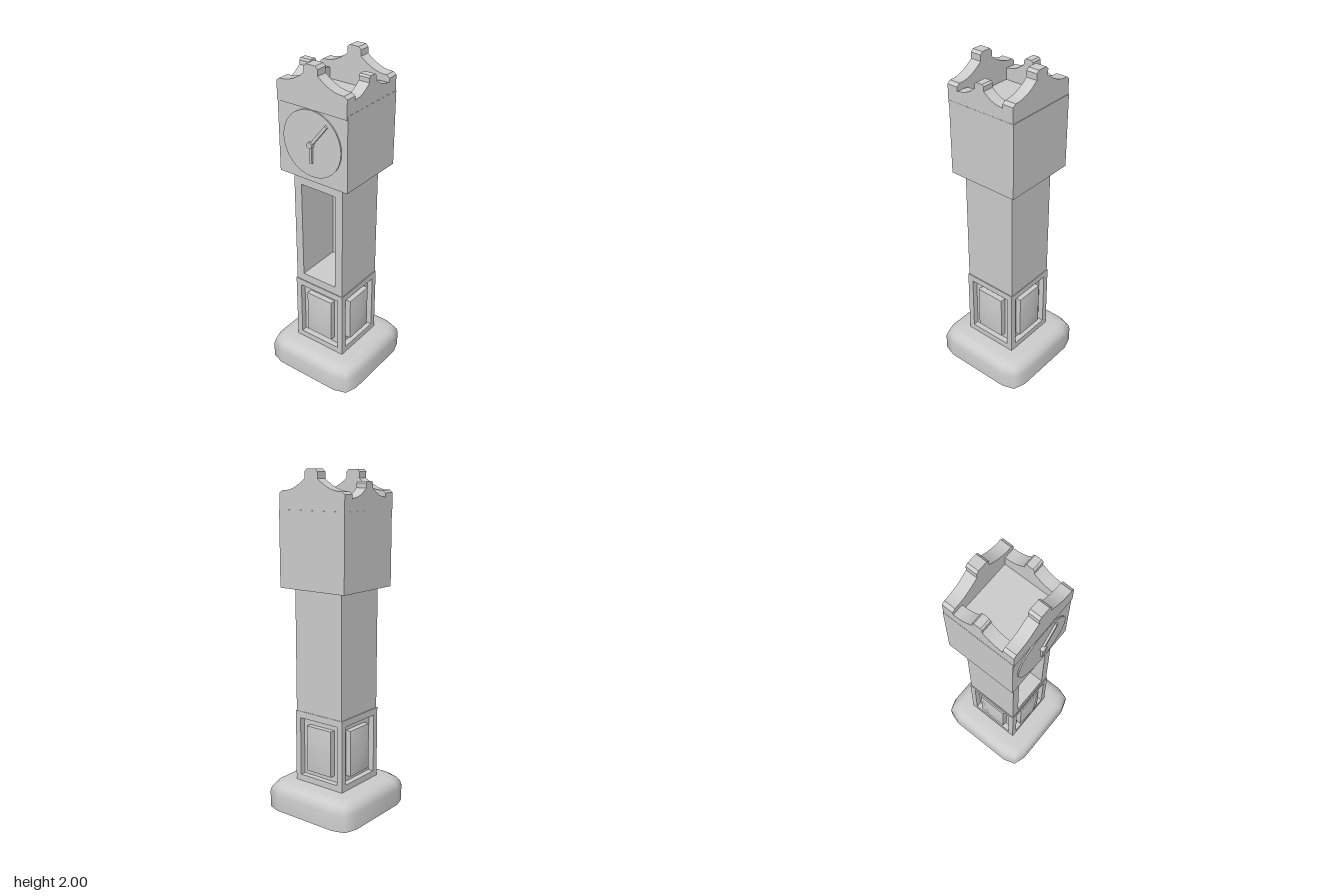
import * as THREE from 'three';
import { toCreasedNormals } from 'three/addons/utils/BufferGeometryUtils.js';

const grey = new THREE.MeshStandardMaterial({ color: 0xcccccc });

function add(parent, name, geometry, x = 0, y = 0, z = 0) {
  const mesh = new THREE.Mesh(geometry, grey);
  mesh.name = name;
  mesh.position.set(x, y, z);
  parent.add(mesh);
  return mesh;
}

function rect(Type, x0, x1, y0, y1) {
  const p = [[x0, y0], [x1, y0], [x1, y1], [x0, y1]].map(([x, y]) => new THREE.Vector2(x, y));
  return new Type(p);
}

const extrude = (shape, depth) =>
  new THREE.ExtrudeGeometry(shape, { depth, bevelEnabled: false, curveSegments: 8 });

// Rectangular frame with a rectangular opening, each given as [x0, x1, y0, y1]
function frame(outer, inner, depth) {
  const shape = rect(THREE.Shape, ...outer);
  shape.holes.push(rect(THREE.Path, ...inner));
  return extrude(shape, depth);
}

// Rounded plinth: a 12-sided lathe whose rings are remapped to a cut-corner square
function baseGeometry() {
  const profile = [[0, 0], [0.31, 0], [0.31, 0.1], [0.303, 0.128], [0.288, 0.149], [0.265, 0.164],
    [0.235, 0.17], [0, 0.17]].map(([r, y]) => new THREE.Vector2(r, y));
  const outline = [];
  for (let k = 0; k < 4; k++) {
    for (let [x, z] of [[0.208, 0.31], [0.285, 0.285], [0.31, 0.208]]) {
      for (let i = 0; i < k; i++) [x, z] = [z, -x];
      outline.push([x, z]);
    }
  }
  const geometry = new THREE.LatheGeometry(profile, 12);
  const pos = geometry.attributes.position;
  for (let v = 0; v < pos.count; v++) {
    const [x, z] = outline[Math.floor(v / profile.length) % 12];
    const s = profile[v % profile.length].x / 0.31;
    pos.setXYZ(v, x * s, pos.getY(v), z * s);
  }
  return toCreasedNormals(geometry, 1.0);
}

// Crest wall: half profile mirrored about the centre, with a knob on top
function crestGeometry(end, shoulder, control, neck, knobY, topX, topY, depth) {
  const s = new THREE.Shape();
  s.moveTo(-end[0], 1.76);
  s.lineTo(end[0], 1.76);
  s.lineTo(...end);
  s.lineTo(...shoulder);
  s.quadraticCurveTo(...control, ...neck);
  s.lineTo(neck[0], knobY);
  s.lineTo(topX, topY);
  s.lineTo(-topX, topY);
  s.lineTo(-neck[0], knobY);
  s.lineTo(-neck[0], neck[1]);
  s.quadraticCurveTo(-control[0], control[1], -shoulder[0], shoulder[1]);
  s.lineTo(-end[0], end[1]);
  return toCreasedNormals(extrude(s, depth).translate(0, 0, -depth / 2), 0.4);
}

export function createModel() {
  const model = new THREE.Group();
  model.name = 'longcaseClock';

  add(model, 'base', baseGeometry());

  // Pedestal: core with a framed, raised panel on each of the four sides
  const pedestal = new THREE.Group();
  pedestal.name = 'pedestal';
  pedestal.position.x = -0.002;
  model.add(pedestal);
  add(pedestal, 'pedestalCore', new THREE.BoxGeometry(0.276, 0.43, 0.276), 0, 0.385, 0);
  for (let i = 0; i < 4; i++) {
    const side = new THREE.Group();
    side.name = 'pedestalSide';
    side.rotation.y = i * Math.PI / 2;
    pedestal.add(side);
    add(side, 'panelFrame', frame([-0.173, 0.173, 0.165, 0.605], [-0.137, 0.137, 0.208, 0.565], 0.035), 0, 0, 0.138);
    add(side, 'raisedPanel', new THREE.BoxGeometry(0.18, 0.28, 0.037), 0, 0.385, 0.1535);
    // Shallow pyramid on the panel face
    const point = new THREE.ConeGeometry(Math.SQRT1_2, 1, 4, 1, true).rotateY(Math.PI / 4)
      .rotateX(Math.PI / 2).scale(0.18, 0.28, 0.03);
    add(side, 'panelPoint', toCreasedNormals(point, 0.7), 0, 0.385, 0.187);
  }

  // Trunk: open to the dial side, closed at the back
  const trunk = add(model, 'trunkCase',
    frame([-0.168, 0.168, 0.6, 1.345], [-0.118, 0.118, 0.655, 1.265], 0.29), 0.12);
  trunk.rotation.y = -Math.PI / 2;
  add(model, 'trunkBack', new THREE.BoxGeometry(0.048, 0.745, 0.336), 0.144, 0.9725, 0);

  // Hood with crest walls
  add(model, 'hood', new THREE.BoxGeometry(0.438, 0.44, 0.46), 0.007, 1.56, 0);
  for (const s of [-1, 1]) {
    const tall = crestGeometry([0.229, 1.87], [0.21, 1.885], [0.13, 1.88], [0.045, 1.95], 1.985, 0.03, 2, 0.067);
    add(model, 'tallCrest', tall, 0.0025 + s * 0.186, 0, 0).rotation.y = Math.PI / 2;
    const low = crestGeometry([0.153, 1.845], [0.14, 1.85], [0.085, 1.85], [0.03, 1.9], 1.925, 0.02, 1.935, 0.067);
    add(model, 'lowCrest', low, 0.0025, 0, s * 0.1955);
  }

  // Dial and hands, built facing +z and turned to face -x
  const dial = new THREE.Group();
  dial.name = 'dial';
  dial.position.set(-0.212, 1.565, 0);
  dial.rotation.y = -Math.PI / 2;
  model.add(dial);
  const disc = (r, d, n) => new THREE.CylinderGeometry(r, r, d, n).rotateX(Math.PI / 2);
  add(dial, 'dialFace', disc(0.193, 0.012, 32), 0, 0, 0.001);
  add(dial, 'handPivot', disc(0.018, 0.024, 16), 0, 0, 0.017);
  for (const [name, length, angle] of [['minuteHand', 0.165, -0.67], ['hourHand', 0.108, Math.PI]]) {
    const hand = new THREE.BoxGeometry(0.018, length, 0.012).translate(0, length / 2, 0);
    add(dial, name, hand, 0, 0, 0.013).rotation.z = angle;
  }

  return model;
}
